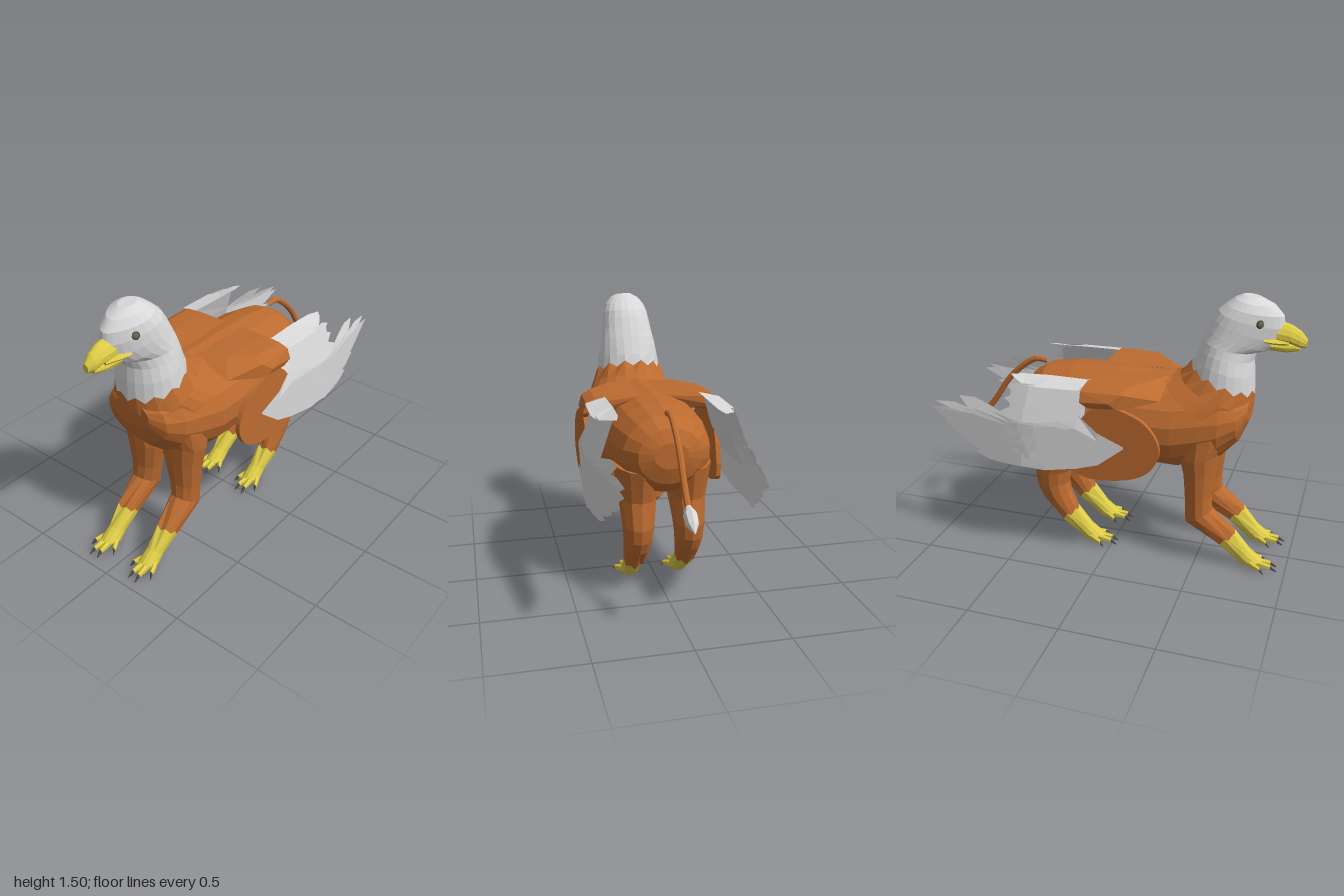
import * as THREE from 'three';
import { ConvexGeometry } from 'three/addons/geometries/ConvexGeometry.js';

const mat = (name, color, side = THREE.FrontSide) => {
  const m = new THREE.MeshStandardMaterial({ color, side });
  m.name = name;
  return m;
};

// Faceted normals, with closed solids turned so that faces point outward
function facet(geo, closed = true) {
  const g = geo.index ? geo.toNonIndexed() : geo;
  const p = g.attributes.position;
  const a = new THREE.Vector3(), b = new THREE.Vector3(), c = new THREE.Vector3();
  let volume = 0;
  for (let i = 0; i < p.count; i += 3) {
    a.fromBufferAttribute(p, i); b.fromBufferAttribute(p, i + 1); c.fromBufferAttribute(p, i + 2);
    volume += a.dot(b.clone().cross(c));
  }
  if (closed && volume < 0) {
    for (let i = 0; i < p.count; i += 3) {
      b.fromBufferAttribute(p, i + 1); c.fromBufferAttribute(p, i + 2);
      p.setXYZ(i + 1, c.x, c.y, c.z); p.setXYZ(i + 2, b.x, b.y, b.z);
    }
  }
  g.computeVertexNormals();
  return g;
}

function build(points, index) {
  const g = new THREE.BufferGeometry();
  g.setAttribute('position', new THREE.Float32BufferAttribute(points.flat(), 3));
  g.setIndex(index);
  return g;
}

// Closed loft; station = [zA, yA, zB, yB, halfWidth, x, zigzag, taper toward A]
function loft(stations, seg = 12) {
  const pts = [], idx = [], rows = stations.length;
  for (const [zA, yA, zB, yB, w, x = 0, zig = 0, taper = 0] of stations) {
    for (let j = 0; j < seg; j++) {
      const a = j / seg * Math.PI * 2, t = (1 + Math.cos(a)) / 2;
      pts.push([x + w * Math.sin(a) * (1 - taper * Math.cos(a)),
        yB + (yA - yB) * t + (j % 2 ? zig : -zig), zB + (zA - zB) * t]);
    }
  }
  for (let i = 0; i < rows - 1; i++) for (let j = 0; j < seg; j++) {
    const k = (j + 1) % seg, a = i * seg + j, b = i * seg + k;
    idx.push(a, b, b + seg, a, b + seg, a + seg);
  }
  [0, rows - 1].forEach((r, end) => {
    const [zA, yA, zB, yB, , x = 0] = stations[r];
    const c = pts.push([x, (yA + yB) / 2, (zA + zB) / 2]) - 1;
    for (let j = 0; j < seg; j++) {
      const a = r * seg + j, b = r * seg + (j + 1) % seg;
      end ? idx.push(a, b, c) : idx.push(b, a, c);
    }
  });
  return facet(build(pts, idx));
}

// Outward curve of the folded wing
function wingX(z, y) {
  const x = z > -0.4 ? 0.418 - (z + 0.4) * 0.07 : 0.418 - (-0.4 - z) * 0.15;
  return x - 0.3 * Math.max(0, y - 0.82);
}

// Open surface through rows of points
function strip(rows) {
  const n = rows[0].length, idx = [];
  for (let i = 1; i < rows.length; i++) for (let j = 1; j < n; j++) {
    const b = i * n + j, a = b - n;
    idx.push(a - 1, a, b, a - 1, b, b - 1);
  }
  return facet(build(rows.flat(), idx), false);
}

// Thin sheet between two edges, bent to the wing; column = [z0, y0, z1, y1]
const sheet = (columns, lift = 0) => strip(columns.map(([z0, y0, z1, y1]) =>
  [0, 0.25, 0.5, 0.75, 1].map(t => {
    const z = z0 + (z1 - z0) * t, y = y0 + (y1 - y0) * t;
    return [wingX(z, y) + lift, y, z];
  })));

function feather([rz, ry, tz, ty, width], lift) {
  const dz = tz - rz, dy = ty - ry, len = Math.hypot(dz, dy);
  const nz = -dy / len, ny = dz / len;
  return sheet([[0, 0.5], [0.3, 0.95], [0.6, 1], [0.82, 0.8], [1, 0.04]].map(([t, k]) => {
    const z = rz + dz * t, y = ry + dy * t, h = width * k / 2;
    return [z - nz * h, y - ny * h, z + nz * h, y + ny * h];
  }), lift);
}

export function createModel() {
  const root = new THREE.Group();
  root.name = 'griffin';
  const fur = mat('orange brown fur', 0xbc6b30);
  const white = mat('pale feathers', 0xd8d8d8, THREE.DoubleSide);
  const yellow = mat('yellow skin', 0xdccb47);
  const claw = mat('dark claw', 0x4a4a48);
  const iris = mat('olive eye', 0x66684f);

  const add = (name, geo, material) => {
    const m = new THREE.Mesh(geo, material);
    m.name = name;
    root.add(m);
  };
  // Adds a part on the left and its mirror image on the right
  const pair = (name, geo, material, closed = true) => {
    add(name + 'Left', geo, material);
    add(name + 'Right', facet(geo.clone().scale(-1, 1, 1), closed), material);
  };

  // Body
  add('body', loft([
    [-0.53, 0.76, -0.53, 0.90, 0.09], [-0.50, 0.67, -0.50, 0.97, 0.17], [-0.42, 0.60, -0.42, 1.02, 0.235],
    [-0.25, 0.56, -0.25, 1.045, 0.275], [0, 0.54, 0, 1.05, 0.295], [0.2, 0.525, 0.2, 1.045, 0.305],
    [0.36, 0.52, 0.36, 1.05, 0.30], [0.5, 0.56, 0.5, 1.06, 0.275], [0.6, 0.61, 0.6, 1.05, 0.25],
    [0.69, 0.71, 0.69, 1.0, 0.20], [0.735, 0.82, 0.735, 0.97, 0.12]], 18), fur);

  // Neck and head, meeting at a ragged collar
  const collar = [0.75, 0.985, 0.41, 1.12, 0.19, 0, 0.016];
  add('neckBase', loft([[0.67, 0.80, 0.27, 1.03, 0.265], [0.747, 0.90, 0.35, 1.06, 0.225], collar], 24), fur);
  add('head', loft([collar,
    [0.745, 1.08, 0.425, 1.17, 0.182], [0.737, 1.16, 0.445, 1.22, 0.168, 0, 0, 0.08],
    [0.75, 1.205, 0.465, 1.27, 0.155, 0, 0, 0.18], [0.81, 1.22, 0.49, 1.325, 0.144, 0, 0, 0.28],
    [0.865, 1.27, 0.515, 1.38, 0.134, 0, 0, 0.35], [0.885, 1.34, 0.54, 1.42, 0.126, 0, 0, 0.35],
    [0.875, 1.405, 0.58, 1.455, 0.112, 0, 0, 0.3], [0.83, 1.455, 0.62, 1.485, 0.085, 0, 0, 0.2],
    [0.76, 1.49, 0.66, 1.503, 0.042]], 24), white);

  // Beak
  add('upperBeak', loft([[0.84, 1.27, 0.86, 1.38, 0.055, 0, 0, -0.35], [0.92, 1.262, 0.92, 1.362, 0.047, 0, 0, -0.3],
    [0.965, 1.245, 0.965, 1.335, 0.036, 0, 0, -0.2], [0.995, 1.245, 1.0, 1.295, 0.016]], 12), yellow);
  add('lowerBeak', loft([[0.82, 1.222, 0.82, 1.29, 0.06], [0.90, 1.215, 0.90, 1.28, 0.042],
    [0.965, 1.23, 0.965, 1.265, 0.024]], 12), yellow);
  add('mouthEdge', loft([[0.79, 1.273, 0.79, 1.306, 0.098], [0.84, 1.258, 0.84, 1.302, 0.08],
    [0.91, 1.255, 0.91, 1.288, 0.044]], 12), yellow);

  // Eyes
  const eye = (r, out) => new THREE.SphereGeometry(r, 10, 6).scale(0.5, 1, 1)
    .rotateY(-0.6).translate(0.097 + out, 1.377, 0.768 + out * 0.7);
  pair('eyeRim', facet(eye(0.025, 0)), claw);
  pair('eye', facet(eye(0.018, 0.006)), iris);

  // Legs
  const ankle = (dz) => [0.715 + dz, 0.195, 0.615 + dz, 0.125, 0.056, 0.145, 0.011];
  pair('frontLeg', loft([[0.65, 0.80, 0.36, 0.74, 0.125, 0.14], [0.60, 0.66, 0.39, 0.62, 0.128, 0.137],
    [0.59, 0.55, 0.41, 0.525, 0.116, 0.13],
    [0.575, 0.40, 0.425, 0.36, 0.09, 0.138], [0.58, 0.32, 0.43, 0.235, 0.078, 0.143], ankle(0)]), fur);
  pair('hindLeg', loft([[-0.10, 0.76, -0.49, 0.73, 0.13, 0.135], [-0.17, 0.57, -0.445, 0.55, 0.105, 0.135],
    [-0.245, 0.44, -0.465, 0.40, 0.088, 0.138], [-0.26, 0.36, -0.45, 0.32, 0.08, 0.14],
    [-0.25, 0.30, -0.415, 0.25, 0.073, 0.142], ankle(-0.923)]), fur);

  // Feet, each with four clawed toes
  for (const [name, dz] of [['front', 0], ['hind', -0.923]]) {
    pair(name + 'Foot', loft([ankle(dz), [0.80 + dz, 0.105, 0.715 + dz, 0.045, 0.046, 0.142],
      [0.87 + dz, 0.05, 0.76 + dz, 0.012, 0.052, 0.142]]), yellow);
    [[0.065, 0.88], [0.118, 0.95], [0.168, 0.955], [0.218, 0.89]].forEach(([tx, tz], i) => {
      const at = (t, y0, y1, w) => {
        const bx = 0.118 + i * 0.017, z = 0.79 + (tz - 0.79) * t + dz;
        return [z, y0, z, y1, w, bx + (tx - bx) * t];
      };
      pair(`${name}Toe${i + 1}`, loft([at(0, 0.012, 0.065, 0.02), at(0.45, 0.008, 0.05, 0.018),
        at(0.8, 0.01, 0.037, 0.012)], 6), yellow);
      pair(`${name}Claw${i + 1}`, loft([at(0.77, 0.011, 0.036, 0.011), at(1, 0, 0.008, 0.002)], 6), claw);
    });
  }

  // Tail with a pale tuft
  const tail = new THREE.CatmullRomCurve3([[1.03, -0.43], [1.035, -0.5], [0.98, -0.59], [0.89, -0.68],
    [0.77, -0.76], [0.67, -0.84]].map(([y, z]) => new THREE.Vector3(0, y, z)));
  add('tail', facet(new THREE.TubeGeometry(tail, 16, 0.017, 8)), fur);
  add('tailTuft', loft([[-0.825, 0.665, -0.845, 0.69, 0.014], [-0.855, 0.615, -0.905, 0.68, 0.036],
    [-0.90, 0.595, -0.94, 0.645, 0.032], [-0.965, 0.588, -0.97, 0.595, 0.003]], 8), white);

  // Wing shoulder, a shallow arch from the back out to the forearm
  pair('wingShoulder', facet(new ConvexGeometry([
    [0.05, 1.04, 0.3], [0.05, 1.04, -0.1], [0.2, 1.048, 0.22], [0.22, 1.048, -0.09], [0.31, 1.04, 0.13],
    [0.32, 1.04, -0.09], [0.36, 1.015, 0.12], [0.365, 1.015, -0.1], [0.385, 0.97, 0.06], [0.385, 0.96, -0.1],
    [0.37, 0.93, 0.1], [0.375, 0.93, -0.06], [0.27, 0.97, 0.3], [0.2, 0.96, -0.08]]
    .map(p => new THREE.Vector3(...p)))), fur);

  // Rounded forearm of the wing, a thick plate standing along z
  const outline = new THREE.CatmullRomCurve3([[0.02, 0.95], [0.15, 0.925], [0.25, 0.875], [0.315, 0.79],
    [0.33, 0.71], [0.28, 0.61], [0.18, 0.55], [0, 0.52], [-0.1, 0.53], [-0.18, 0.58], [-0.1, 0.86]]
    .map(([z, y]) => new THREE.Vector3(-z, y, 0)), true).getPoints(32).slice(0, -1);
  const arm = new THREE.ExtrudeGeometry(new THREE.Shape(outline.map(v => new THREE.Vector2(v.x, v.y))),
    { depth: 0.026, bevelEnabled: false });
  pair('wingForearm', facet(arm.rotateY(Math.PI / 2).translate(0.348, 0, 0)), fur);

  // Wing sheets
  const column = ([z, y0, y1]) => [z, y0, z, y1];
  pair('wingSheet', sheet([[0.14, 0.725, 0.735], [0, 0.615, 0.80], [-0.12, 0.58, 0.89], [-0.3, 0.55, 0.87],
    [-0.45, 0.555, 0.85], [-0.6, 0.575, 0.83], [-0.68, 0.60, 0.82]].map(column)), white, false);
  pair('upperWingSheet', sheet([[-0.11, 0.85, 1.015], [-0.3, 0.84, 1.015], [-0.43, 0.83, 1.01],
    [-0.5, 0.86, 0.98]].map(column)), white, false);

  // Level feathers along the top and the lining hanging behind the forearm
  pair('topWingSheet', strip([[[0.262, 1.045, -0.08], [0.375, 1.02, -0.11]],
    [[0.258, 1.045, -0.3], [0.38, 1.015, -0.34]], [[0.262, 1.04, -0.46], [0.36, 1.01, -0.42]],
    [[0.28, 1.035, -0.53], [0.31, 1.03, -0.5]]]), white, false);
  pair('wingLining', strip([[[0.29, 1.02, -0.1], [0.325, 0.9, -0.09], [0.385, 0.73, -0.08]],
    [[0.285, 1.02, -0.45], [0.33, 0.9, -0.47], [0.395, 0.73, -0.5]]]), white, false);

  // Flight feathers and coverts: root z, root y, tip z, tip y, width
  [[-0.35, 0.73, -0.82, 0.895, 0.10], [-0.35, 0.70, -0.97, 0.845, 0.10], [-0.4, 0.68, -1.0, 0.81, 0.10],
    [-0.4, 0.65, -0.92, 0.735, 0.10], [-0.35, 0.63, -0.82, 0.665, 0.10], [-0.3, 0.60, -0.72, 0.595, 0.08],
    [-0.2, 0.98, -0.52, 0.99, 0.07], [-0.2, 0.92, -0.53, 0.93, 0.08], [-0.2, 0.87, -0.55, 0.86, 0.08],
    [-0.1, 0.76, -0.52, 0.80, 0.09], [-0.08, 0.70, -0.5, 0.72, 0.08], [-0.05, 0.65, -0.45, 0.63, 0.07]]
    .forEach((f, i) => pair(`feather${i + 1}`, feather(f, 0.004 + (i % 3) * 0.004), white, false));

  return root;
}
